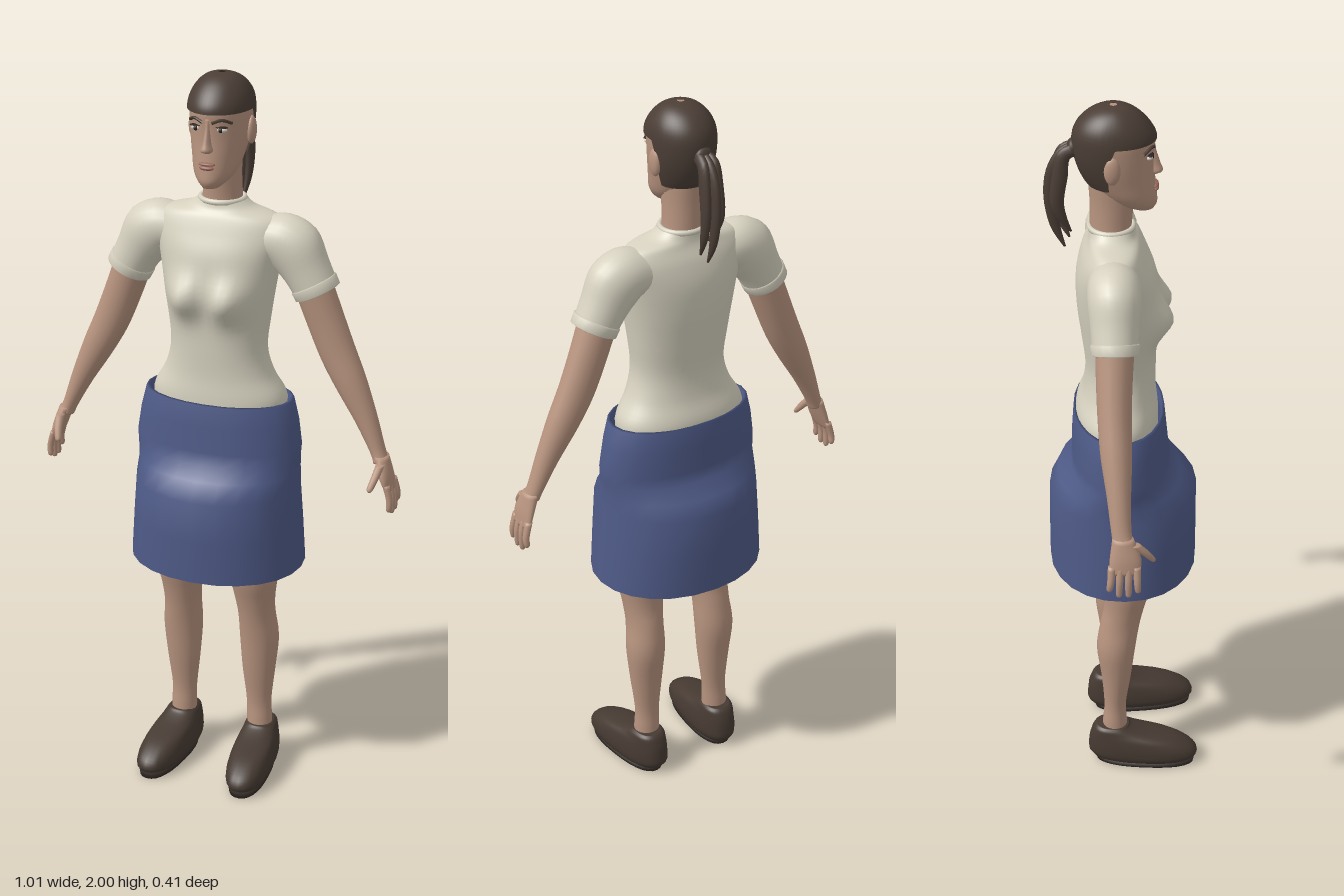
import * as THREE from 'three';

const mat = (name, color, side = THREE.FrontSide) => {
  const m = new THREE.MeshStandardMaterial({ color, side });
  m.name = name;
  return m;
};

// Catmull-Rom resampling of a list of number rows
function resample(rows, k) {
  const out = [], at = i => rows[Math.min(Math.max(i, 0), rows.length - 1)];
  for (let i = 0; i < rows.length - 1; i++)
    for (let s = 0; s < k; s++) {
      const t = s / k, a = at(i - 1), b = at(i), c = at(i + 1), d = at(i + 2);
      out.push(b.map((v, j) => v + 0.5 * t * (c[j] - a[j] + t * (2 * a[j] - 5 * v + 4 * c[j] - d[j] + t * (3 * (v - c[j]) + d[j] - a[j])))));
    }
  out.push(at(rows.length - 1));
  return out;
}

// Joins rings [x, y, z, halfWidth, halfDepth, tilt], listed from bottom to top
function loft(rows, { n = 20, k = 4, caps = true, power = 2 } = {}) {
  const rings = k > 1 ? resample(rows, k) : rows, pos = [], idx = [];
  const pw = v => Math.sign(v) * Math.abs(v) ** (2 / power);
  for (const [x, y, z, a, b, tilt = 0] of rings)
    for (let j = 0; j < n; j++) {
      const t = (j / n) * Math.PI * 2, u = a * pw(Math.cos(t));
      pos.push(x + u * Math.cos(tilt), y + u * Math.sin(tilt), z + b * pw(Math.sin(t)));
    }
  const last = (rings.length - 1) * n;
  for (let o = 0; o < last; o += n)
    for (let j = 0; j < n; j++) {
      const p = o + j, q = o + ((j + 1) % n);
      idx.push(p, p + n, q, q, p + n, q + n);
    }
  if (caps) {
    const c = pos.length / 3;
    pos.push(...rings[0].slice(0, 3), ...rings[rings.length - 1].slice(0, 3));
    for (let j = 0; j < n; j++) {
      const q = (j + 1) % n;
      idx.push(c, j, q, c + 1, last + q, last + j);
    }
  }
  const g = new THREE.BufferGeometry();
  g.setAttribute('position', new THREE.Float32BufferAttribute(pos, 3));
  g.setIndex(idx);
  g.computeVertexNormals();
  return g;
}

// Ring on the centre line from half width, front z and back z
const ring = ([y, rx, front, back]) => [0, y, (front + back) / 2, rx, (front - back) / 2, 0];

const ball = (x, y, z, rx, ry, rz) => new THREE.SphereGeometry(1, 16, 12).scale(rx, ry, rz).translate(x, y, z);

function mirrored(geo) {
  const g = geo.clone().scale(-1, 1, 1), i = g.index.array;
  for (let t = 0; t < i.length; t += 3) [i[t], i[t + 1]] = [i[t + 1], i[t]];
  g.computeVertexNormals();
  return g;
}

export function createModel() {
  const model = new THREE.Group();
  model.name = 'woman';
  const skin = mat('skin', 0xb8947f), shirt = mat('cream shirt', 0xd6d1bf);
  const blue = mat('blue skirt', 0x4f5b88, THREE.DoubleSide), hair = mat('brown hair', 0x4b3e36, THREE.DoubleSide);
  const leather = mat('shoe leather', 0x463a32), soleMat = mat('shoe sole', 0x352c27);
  const lipMat = mat('lips', 0x99685b), white = mat('eye white', 0xcfc6bc), dark = mat('iris', 0x2e2521);

  const add = (name, geo, m) => {
    const mesh = new THREE.Mesh(geo, m);
    mesh.name = name;
    model.add(mesh);
  };
  const pair = (name, geo, m) => {
    add(name + 'Left', geo, m);
    add(name + 'Right', mirrored(geo), m);
  };

  // Shirt body, with the bust pushed forward
  const torso = loft([
    [1.05, 0.17, 0.09, -0.12], [1.13, 0.186, 0.09, -0.13], [1.2, 0.15, 0.083, -0.11], [1.27, 0.132, 0.083, -0.103],
    [1.36, 0.14, 0.085, -0.113], [1.45, 0.153, 0.09, -0.124], [1.53, 0.168, 0.083, -0.125], [1.59, 0.182, 0.06, -0.112],
    [1.63, 0.16, 0.042, -0.095], [1.65, 0.09, 0.028, -0.09], [1.672, 0.06, 0.022, -0.088],
  ].map(ring), { n: 48, k: 5, power: 2.2 });
  const p = torso.attributes.position;
  for (let i = 0; i < p.count; i++) {
    if (p.getZ(i) < 0) continue;
    const dx = (Math.abs(p.getX(i)) - 0.063) / 0.05, dy = (p.getY(i) - 1.42) / 0.055;
    p.setZ(i, p.getZ(i) + 0.045 * Math.exp(-dx * dx - dy * dy));
  }
  torso.computeVertexNormals();
  add('shirtBody', torso, shirt);
  add('collar', new THREE.TorusGeometry(1, 0.13, 8, 32).rotateX(Math.PI / 2).scale(0.058, 0.06, 0.056).translate(0, 1.667, -0.033), shirt);

  // Sleeves and cuffs
  pair('sleeve', loft([
    [0.265, 1.445, -0.03, 0.059, 0.058, 0.46], [0.235, 1.5, -0.03, 0.065, 0.062, 0.55], [0.205, 1.55, -0.03, 0.077, 0.068, 0.85],
    [0.16, 1.575, -0.03, 0.07, 0.068, 1.25], [0.1, 1.57, -0.03, 0.06, 0.06, 1.4],
  ], { n: 24 }), shirt);
  pair('cuff', loft([
    [0.268, 1.439, -0.03, 0.057, 0.056, 0.46], [0.267, 1.441, -0.03, 0.063, 0.061, 0.46],
    [0.256, 1.463, -0.03, 0.064, 0.063, 0.48], [0.254, 1.467, -0.03, 0.058, 0.058, 0.48],
  ], { n: 24, k: 1 }), shirt);

  // Arms, palms, thumbs and fingers
  pair('arm', loft([
    [0.457, 1.0, -0.015, 0.02, 0.027, 0.4], [0.445, 1.03, -0.02, 0.021, 0.026, 0.42], [0.41, 1.11, -0.025, 0.031, 0.031, 0.44],
    [0.365, 1.2, -0.03, 0.043, 0.04, 0.46], [0.325, 1.28, -0.033, 0.049, 0.043, 0.46], [0.288, 1.37, -0.033, 0.051, 0.046, 0.46],
    [0.25, 1.47, -0.03, 0.052, 0.05, 0.46],
  ]), skin);
  pair('palm', loft([
    [0.487, 0.925, -0.013, 0.01, 0.04], [0.475, 0.965, -0.01, 0.017, 0.04], [0.458, 1.015, -0.016, 0.02, 0.027],
  ]), skin);
  pair('thumb', loft([
    [0.452, 0.938, 0.062, 0.004, 0.004], [0.453, 0.946, 0.058, 0.009, 0.009], [0.46, 0.972, 0.038, 0.011, 0.014], [0.465, 1.0, 0.01, 0.012, 0.018],
  ], { n: 10 }), skin);
  for (let i = 0; i < 4; i++) {
    const z = -0.013 + (i - 1.5) * 0.021, tip = [0.875, 0.858, 0.858, 0.87][i], spread = z * 1.15;
    pair('finger' + (i + 1), loft([
      [0.495, tip, spread, 0.003, 0.003], [0.495, tip + 0.008, spread, 0.008, 0.008],
      [0.495, 0.905, z * 1.08, 0.009, 0.0095], [0.484, 0.945, z, 0.01, 0.011],
    ], { n: 10 }), skin);
  }

  // Hips and legs
  add('hips', loft([[0.87, 0.09, 0.05, -0.07], [0.92, 0.17, 0.085, -0.115], [1.06, 0.17, 0.088, -0.12]].map(ring)), skin);
  pair('leg', loft([
    [0.117, 0.08, -0.03, 0.036, 0.038], [0.116, 0.14, -0.03, 0.036, 0.034], [0.114, 0.2, -0.029, 0.036, 0.031], [0.114, 0.3, -0.026, 0.047, 0.042],
    [0.115, 0.4, -0.026, 0.055, 0.054], [0.111, 0.48, -0.015, 0.052, 0.055], [0.109, 0.54, -0.003, 0.057, 0.056],
    [0.108, 0.62, 0.006, 0.069, 0.067], [0.104, 0.78, 0.004, 0.083, 0.085], [0.095, 0.95, -0.01, 0.09, 0.098],
  ], { n: 24 }), skin);

  // Shoes, turned out slightly
  const turn = g => g.rotateY(0.09).translate(0.122, 0, 0);
  pair('shoe', turn(loft([
    [0, 0.018, 0.052, 0.054, 0.145], [0, 0.035, 0.051, 0.06, 0.156], [0, 0.06, 0.043, 0.06, 0.148], [0, 0.085, 0.02, 0.055, 0.122],
    [0, 0.104, -0.018, 0.048, 0.078], [0, 0.118, -0.035, 0.043, 0.054], [0, 0.126, -0.035, 0.035, 0.045],
  ], { n: 28, power: 2.4 })), leather);
  pair('sole', turn(loft([[0, 0, 0.057, 0.05, 0.14], [0, 0.022, 0.057, 0.053, 0.144]], { n: 28, k: 1, power: 2.4 })), soleMat);

  // Skirt: open tube with a flared lower part and a turned-in waistband
  add('skirt', loft([
    [0.65, 0.243, 0.197, -0.205], [0.77, 0.235, 0.197, -0.205], [0.885, 0.226, 0.196, -0.203], [0.93, 0.225, 0.155, -0.18],
    [0.965, 0.229, 0.125, -0.145], [1.0, 0.232, 0.12, -0.142], [1.07, 0.222, 0.113, -0.14], [1.13, 0.207, 0.107, -0.136],
    [1.132, 0.199, 0.1, -0.13], [1.1, 0.197, 0.098, -0.13],
  ].map(ring), { n: 24, k: 1, caps: false, power: 2.1 }), blue);

  // Neck and head
  add('neck', loft([[1.63, 0.058, 0.02, -0.088], [1.68, 0.052, 0.02, -0.088], [1.74, 0.05, 0.025, -0.088], [1.8, 0.052, 0.03, -0.092]].map(ring)), skin);
  const skull = [
    [1.718, 0.022, 0.074, 0.02], [1.735, 0.041, 0.083, -0.025], [1.76, 0.057, 0.082, -0.06], [1.8, 0.067, 0.078, -0.095],
    [1.84, 0.075, 0.074, -0.114], [1.88, 0.079, 0.074, -0.124], [1.92, 0.079, 0.075, -0.125], [1.95, 0.071, 0.058, -0.113],
    [1.975, 0.053, 0.032, -0.088], [1.99, 0.03, 0.004, -0.057], [1.995, 0.003, -0.024, -0.03],
  ].map(ring);
  add('head', loft(skull, { n: 32 }), skin);
  add('nose', loft([
    [0, 1.812, 0.074, 0.008, 0.006], [0, 1.82, 0.075, 0.016, 0.022], [0, 1.84, 0.07, 0.011, 0.021], [0, 1.875, 0.064, 0.008, 0.016], [0, 1.9, 0.066, 0.01, 0.01],
  ], { n: 12 }), skin);
  add('upperLip', ball(0, 1.784, 0.078, 0.023, 0.005, 0.009), lipMat);
  add('lowerLip', ball(0, 1.774, 0.079, 0.02, 0.006, 0.009), lipMat);
  pair('eye', ball(0.034, 1.873, 0.061, 0.016, 0.0075, 0.01), white);
  pair('iris', ball(0.034, 1.873, 0.067, 0.006, 0.0065, 0.006), dark);
  const brow = new THREE.CatmullRomCurve3([[0.012, 1.891, 0.074], [0.036, 1.899, 0.066], [0.057, 1.889, 0.046]].map(v => new THREE.Vector3(...v)));
  pair('brow', new THREE.TubeGeometry(brow, 10, 0.0045, 6), hair);
  pair('lashLine', ball(0.034, 1.88, 0.063, 0.018, 0.0025, 0.01), dark);
  pair('ear', ball(0.08, 1.855, -0.032, 0.012, 0.037, 0.021), skin);

  // Hair cap: the skull surface, slightly enlarged, cut along the hairline
  const fine = resample(skull, 8), n = 48, levels = 24, pos = [], idx = [];
  const step = (z, a, b) => THREE.MathUtils.smoothstep(z, a, b);
  for (let i = 0; i <= levels; i++)
    for (let j = 0; j < n; j++) {
      const t = (j / n) * Math.PI * 2, s = Math.sin(t);
      const low = 1.79 + 0.123 * step(s, -0.42, 0.02);
      const f = Math.sin((i / levels) * Math.PI / 2), y = low + (1.995 - low) * f;
      const m = Math.max(1, fine.findIndex(r => r[1] >= y - 1e-9));
      const A = fine[m - 1], B = fine[m], u = (y - A[1]) / (B[1] - A[1]);
      const [cz, rx, rz] = [2, 3, 4].map(c => A[c] + (B[c] - A[c]) * u);
      pos.push((rx + 0.006) * Math.cos(t), y + 0.005 * f, cz + (rz + 0.006) * s);
    }
  for (let o = 0; o < levels * n; o += n)
    for (let j = 0; j < n; j++) {
      const a = o + j, b = o + ((j + 1) % n);
      idx.push(a, a + n, b, b, a + n, b + n);
    }
  const cap = new THREE.BufferGeometry();
  cap.setAttribute('position', new THREE.Float32BufferAttribute(pos, 3));
  cap.setIndex(idx);
  cap.computeVertexNormals();
  add('hairCap', cap, hair);

  // Ponytail: three tapered locks gathered by a band
  for (const [i, drop, shift] of [[-1, 0.05, -0.012], [0, 0, 0.004], [1, 0.02, -0.008]])
    add('ponytailLock' + (i + 2), loft([
      [0.148 + shift, 1.608 + drop, i * 0.014, 0.003, 0.003, -0.45], [0.172 + shift, 1.67 + drop * 0.7, i * 0.02, 0.013, 0.009, -0.3],
      [0.182 + shift, 1.75, i * 0.022, 0.018, 0.012, -0.05], [0.173 + shift, 1.82, i * 0.02, 0.02, 0.013, 0.25],
      [0.15, 1.872, i * 0.016, 0.018, 0.013, 0.7], [0.108, 1.888, i * 0.01, 0.017, 0.013, 1.45],
    ], { n: 12 }).rotateY(Math.PI / 2), hair);
  add('hairBand', ball(0, 1.886, -0.13, 0.026, 0.024, 0.014), hair);

  return model;
}
